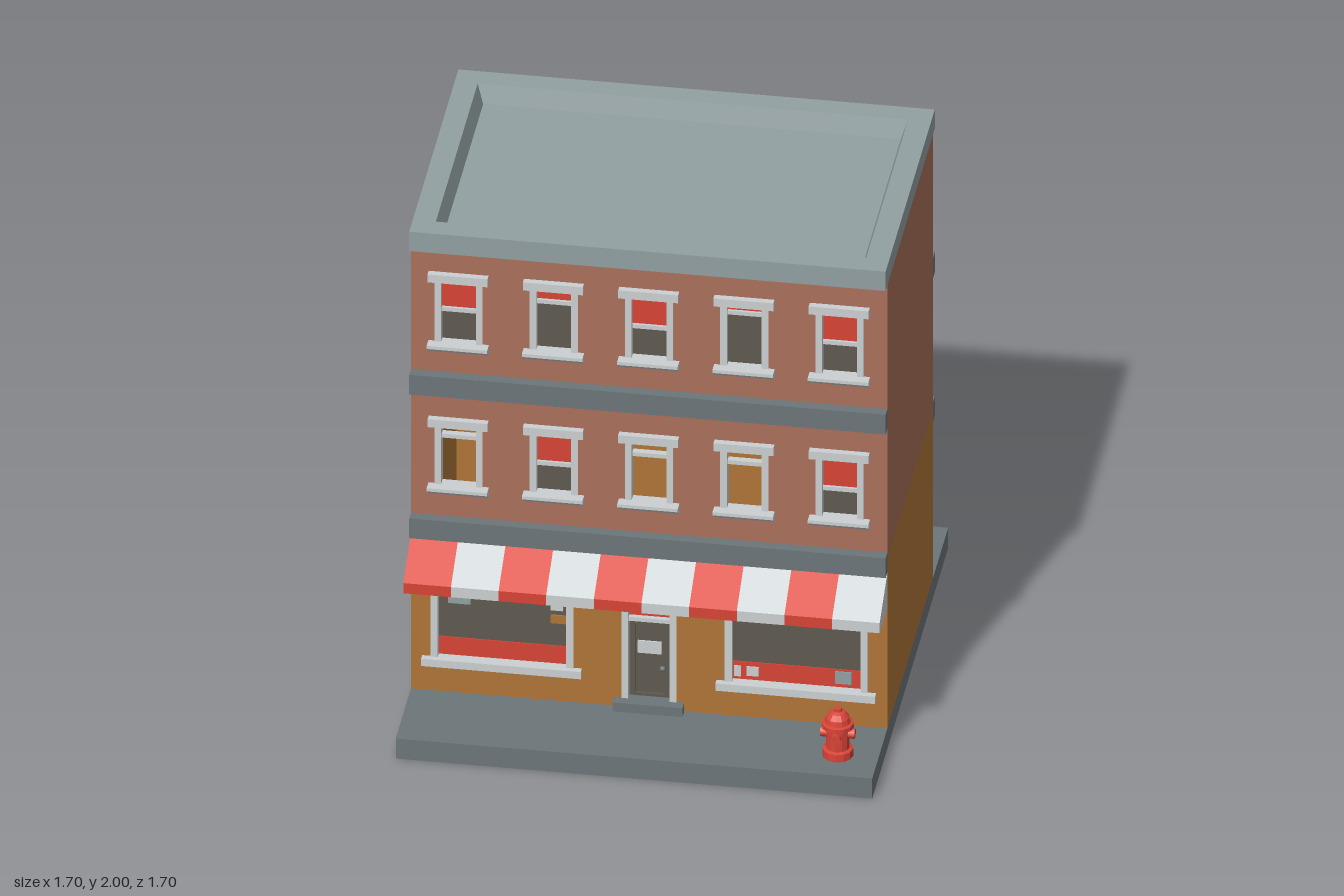
import * as THREE from 'three';

const mat = (name, color, twoSided) => {
  const m = new THREE.MeshStandardMaterial({ color });
  m.name = name;
  if (twoSided) m.side = THREE.DoubleSide;
  return m;
};

export function createModel() {
  const brick = mat('brick', 0xaa705a, true);
  const ochre = mat('ochre', 0xb07537, true);
  const red = mat('red', 0xd94437);
  const trim = mat('white trim', 0xcbd0d2);
  const stone = mat('dark stone', 0x6c767a);
  const roofGrey = mat('roof grey', 0x92a0a2);
  const dark = mat('dark glass', 0x5f5b50);
  const green = mat('green', 0x0f8a5c);

  const model = new THREE.Group();
  const add = (name, geo, m, parent = model) => {
    const mesh = new THREE.Mesh(geo, m);
    mesh.name = name;
    parent.add(mesh);
    return mesh;
  };
  const group = (name) => {
    const g = new THREE.Group();
    g.name = name;
    model.add(g);
    return g;
  };
  // Box given by its limits on each axis
  const box = (name, x0, x1, y0, y1, z0, z1, m, parent) => {
    const mesh = add(name, new THREE.BoxGeometry(x1 - x0, y1 - y0, z1 - z0), m, parent);
    mesh.position.set((x0 + x1) / 2, (y0 + y1) / 2, (z0 + z1) / 2);
    return mesh;
  };
  // Prism along x from a profile of [z, y] points
  const prism = (name, x0, x1, profile, m, parent) => {
    const shape = new THREE.Shape(profile.map(([z, y]) => new THREE.Vector2(-z, y)));
    const geo = new THREE.ExtrudeGeometry(shape, { depth: x1 - x0, bevelEnabled: false });
    geo.rotateY(Math.PI / 2).translate(x0, 0, 0);
    return add(name, geo, m, parent);
  };
  // Stack of rectangles [halfX, halfZ, y], closed at both ends
  const loft = (rings) => {
    const pos = [];
    const corners = ([hx, hz, y]) => [[hx, y, hz], [hx, y, -hz], [-hx, y, -hz], [-hx, y, hz]];
    const quad = (a, b, c, d) => pos.push(...a, ...b, ...c, ...a, ...c, ...d);
    const loops = rings.map(corners);
    for (let i = 0; i + 1 < loops.length; i++) {
      for (let j = 0; j < 4; j++) {
        const k = (j + 1) % 4;
        quad(loops[i][j], loops[i][k], loops[i + 1][k], loops[i + 1][j]);
      }
    }
    quad(...[...loops[0]].reverse());
    quad(...loops[loops.length - 1]);
    const geo = new THREE.BufferGeometry();
    geo.setAttribute('position', new THREE.Float32BufferAttribute(pos, 3));
    geo.computeVertexNormals();
    return geo;
  };
  const rectPath = (P, x0, x1, y0, y1) =>
    new P([[x0, y0], [x1, y0], [x1, y1], [x0, y1]].map(([x, y]) => new THREE.Vector2(x, y)));

  // Pavement slab
  box('pavement', -0.85, 0.85, 0, 0.083, -0.85, 0.85, stone);

  // Hollow walls, with openings cut in the front
  const columns = [-0.68, -0.34, 0, 0.34, 0.68];
  const floors = [
    { y0: 0.93, y1: 1.19, blinds: [1.135, 1.055, 1.125, 1.125, 1.05], open: [0, 2, 3] },
    { y0: 1.52, y1: 1.79, blinds: [1.66, 1.725, 1.655, 1.745, 1.655], open: [] },
  ];
  const shops = [-0.525, 0.525];
  const upperHoles = floors.flatMap((f) => columns.map((x) => [x - 0.085, x + 0.085, f.y0, f.y1]));
  const lowerHoles = [...shops.map((x) => [x - 0.255, x + 0.255, 0.21, 0.53]), [-0.095, 0.095, 0.1, 0.53]];
  const storey = (name, y0, y1, holes, m) => {
    const g = group(name);
    const shape = rectPath(THREE.Shape, -0.85, 0.85, y0, y1);
    shape.holes = holes.map((h) => rectPath(THREE.Path, ...h));
    add('frontWall', new THREE.ShapeGeometry(shape), m, g).position.z = 0.51;
    const yc = (y0 + y1) / 2;
    const back = add('backWall', new THREE.PlaneGeometry(1.7, y1 - y0), m, g);
    back.position.set(0, yc, -0.51);
    back.rotation.y = Math.PI;
    for (const s of [-1, 1]) {
      const side = add(s > 0 ? 'leftWall' : 'rightWall', new THREE.PlaneGeometry(1.02, y1 - y0), m, g);
      side.position.set(s * 0.85, yc, 0);
      side.rotation.y = s * Math.PI / 2;
    }
  };
  storey('groundStorey', 0.083, 0.78, lowerHoles, ochre);
  storey('upperStoreys', 0.78, 1.92, upperHoles, brick);

  // Ledges and roof with a sunken deck
  for (const y of [0.73, 1.325]) {
    box('frontLedge', -0.85, 0.85, y, y + 0.082, 0.51, 0.55, stone);
    box('backLedge', -0.85, 0.85, y, y + 0.082, -0.55, -0.51, stone);
  }
  add('roof', loft([[0.85, 0.55, 1.92], [0.85, 0.55, 2], [0.768, 0.468, 2], [0.745, 0.447, 1.93]]), roofGrey);

  // Upper windows
  for (const f of floors) {
    columns.forEach((x, i) => {
      const g = group('window');
      const { y0, y1 } = f;
      const b = f.blinds[i];
      box('lintel', x - 0.107, x + 0.107, y1 - 0.003, y1 + 0.03, 0.48, 0.535, trim, g);
      for (const s of [-1, 1]) {
        const c = x + s * 0.074;
        box('jamb', c - 0.012, c + 0.012, y0, y1, 0.47, 0.515, trim, g);
      }
      prism('sill', x - 0.108, x + 0.108,
        [[0.48, y0 - 0.03], [0.512, y0 - 0.03], [0.55, y0], [0.55, y0 + 0.013], [0.48, y0 + 0.013]], trim, g);
      box('sashBar', x - 0.063, x + 0.063, b - 0.008, b + 0.008, 0.475, 0.5, trim, g);
      if (!f.open.includes(i)) {
        box('blind', x - 0.064, x + 0.064, b, y1, 0.484, 0.49, red, g);
        box('glass', x - 0.064, x + 0.064, y0, b, 0.48, 0.486, dark, g);
      }
    });
  }

  // Shop windows
  for (const x of shops) {
    const g = group('shopWindow');
    box('lintel', x - 0.285, x + 0.285, 0.515, 0.546, 0.48, 0.535, trim, g);
    box('sill', x - 0.285, x + 0.285, 0.195, 0.225, 0.48, 0.535, trim, g);
    for (const s of [-1, 1]) {
      const c = x + s * 0.242;
      box('jamb', c - 0.013, c + 0.013, 0.22, 0.52, 0.47, 0.515, trim, g);
    }
    box('glass', x - 0.235, x + 0.235, 0.22, 0.52, 0.48, 0.486, dark, g);
    box('redBand', x - 0.235, x + 0.235, 0.22, 0.297, 0.484, 0.49, red, g);
  }
  // Notices in the windows
  const notices = [
    [-0.72, -0.64, 0.44, 0.49, roofGrey], [-0.355, -0.31, 0.445, 0.487, trim],
    [-0.355, -0.3, 0.392, 0.425, ochre], [0.3, 0.325, 0.237, 0.28, trim],
    [0.345, 0.388, 0.242, 0.28, trim], [0.66, 0.72, 0.24, 0.29, roofGrey],
  ];
  for (const [x0, x1, y0, y1, m] of notices) box('notice', x0, x1, y0, y1, 0.488, 0.494, m);

  // Door
  const door = group('door');
  box('lintel', -0.125, 0.125, 0.515, 0.546, 0.48, 0.535, trim, door);
  for (const s of [-1, 1]) box('jamb', s * 0.086 - 0.012, s * 0.086 + 0.012, 0.1, 0.52, 0.465, 0.515, trim, door);
  box('transom', -0.076, 0.076, 0.445, 0.52, 0.48, 0.487, red, door);
  box('transomBar', -0.076, 0.076, 0.436, 0.452, 0.47, 0.505, trim, door);
  box('panel', -0.076, 0.076, 0.11, 0.44, 0.47, 0.48, dark, door);
  for (const s of [-1, 1]) box('stile', s * 0.064 - 0.01, s * 0.064 + 0.01, 0.11, 0.438, 0.478, 0.488, dark, door);
  for (const y of [0.12, 0.425]) box('rail', -0.06, 0.06, y - 0.012, y + 0.012, 0.478, 0.488, dark, door);
  box('sign', -0.045, 0.04, 0.295, 0.345, 0.48, 0.486, trim, door);
  add('knob', new THREE.SphereGeometry(0.011, 10, 8), stone, door).position.set(0.045, 0.24, 0.492);
  box('step', -0.125, 0.125, 0.083, 0.12, 0.465, 0.55, stone, door);

  // Striped awning
  const awning = group('awning');
  for (let i = 0; i < 10; i++) {
    const x = -0.85 + i * 0.17;
    prism('stripe', x, x + 0.17, [[0.511, 0.583], [0.683, 0.583], [0.683, 0.625], [0.511, 0.728]],
      i % 2 ? trim : red, awning);
  }

  // Fire hydrant
  const hydrant = group('hydrant');
  hydrant.position.set(0.705, 0.083, 0.71);
  const profile = [[0, 0], [0.055, 0], [0.055, 0.03], [0.042, 0.034], [0.042, 0.115], [0.057, 0.118], [0.057, 0.135],
    [0.046, 0.138], [0.042, 0.158], [0.028, 0.176], [0.014, 0.182], [0.014, 0.193], [0, 0.193]];
  const bodyGeo = new THREE.LatheGeometry(profile.map(([r, y]) => new THREE.Vector2(r, y)), 12).toNonIndexed();
  bodyGeo.computeVertexNormals();
  add('hydrantBody', bodyGeo, red, hydrant);
  for (const a of [-1, 0, 1]) {
    const nozzle = add('nozzle', new THREE.CylinderGeometry(0.019, 0.019, 0.055, 8), red, hydrant);
    nozzle.position.set(a * 0.034, 0.092, a ? 0 : 0.03);
    if (a) nozzle.rotation.z = Math.PI / 2;
    else nozzle.rotation.x = Math.PI / 2;
  }

  // Rubbish container with a sloping ribbed lid
  const bin = group('rubbishContainer');
  bin.position.set(0.44, 0, -0.68);
  add('container', loft([[0.2, 0.115, 0.088], [0.213, 0.127, 0.1], [0.213, 0.127, 0.155], [0.203, 0.118, 0.163],
    [0.213, 0.127, 0.171], [0.213, 0.127, 0.225], [0.24, 0.15, 0.235], [0.24, 0.15, 0.268], [0.225, 0.14, 0.277]]), green, bin);
  const lid = (name, x0, x1, lift) => prism(name, x0, x1,
    [[0.125, 0.27], [0.14 + lift, 0.353 + lift], [-0.14 - lift, 0.312 + lift], [-0.135 - lift, 0.27]], dark, bin);
  lid('lid', -0.208, 0.215, 0);
  for (const x of [-0.105, 0.108]) lid('lidRib', x - 0.02, x + 0.02, 0.008);

  // Carton and rubbish bags
  const carton = group('carton');
  carton.position.set(-0.07, 0.083, -0.65);
  carton.rotation.y = 0.17;
  box('cartonBody', -0.062, 0.062, 0, 0.105, -0.068, 0.068, brick, carton);
  for (const s of [-1, 1]) box('cartonFlap', s * 0.031 - 0.03, s * 0.031 + 0.03, 0.105, 0.109, -0.068, 0.068, brick, carton);
  for (const [x, z, r] of [[0.135, -0.66, 0.058], [0.02, -0.7, 0.032]]) {
    const bag = add('rubbishBag', new THREE.DodecahedronGeometry(r), dark);
    bag.scale.y = 0.7;
    bag.position.set(x, 0.083 + r * 0.5, z);
  }
  return model;
}
